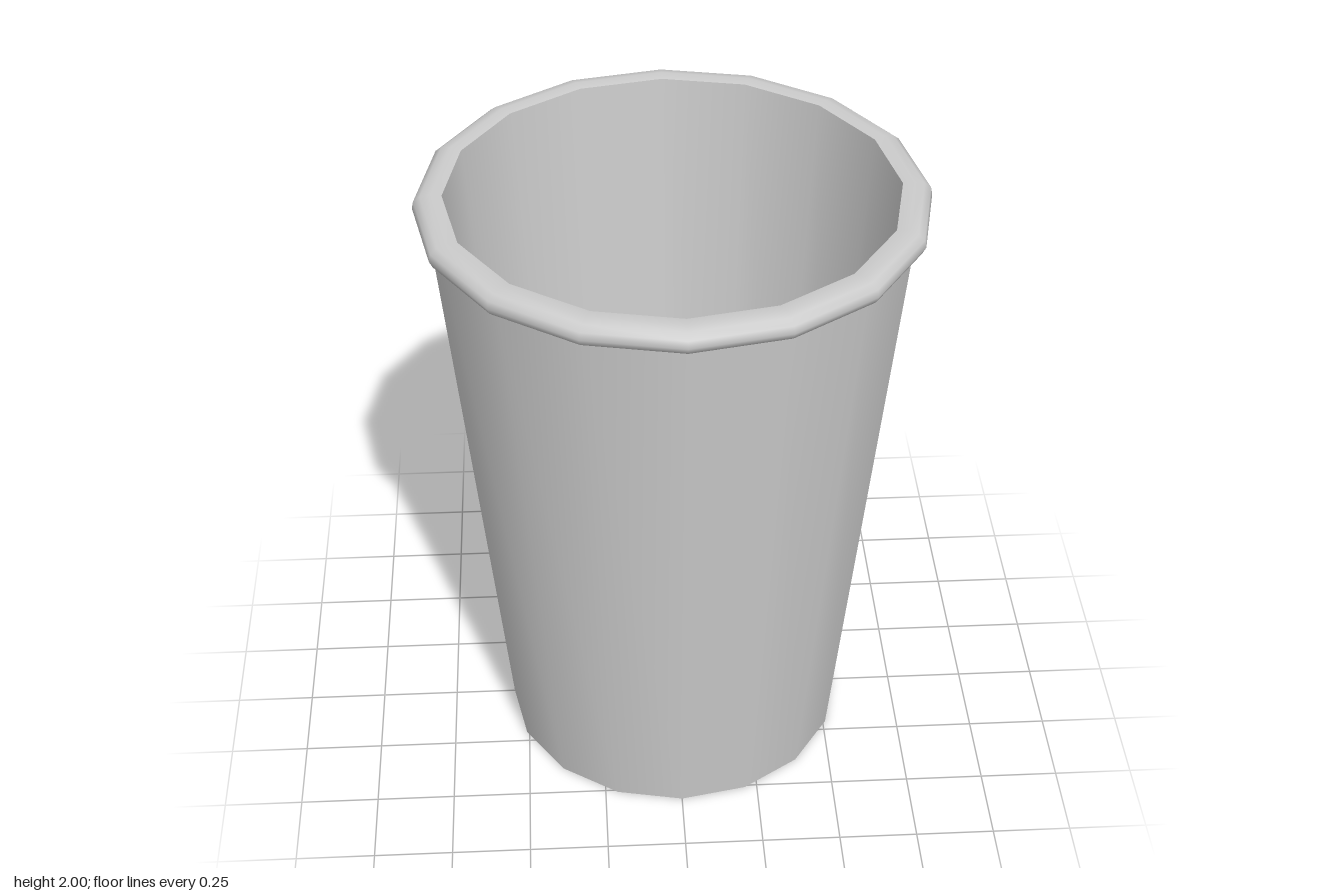
import * as THREE from 'three';

const SIDES = 16;
const material = new THREE.MeshStandardMaterial({ color: 0xcccccc });

// One smooth turned band; separate bands keep the edges between them sharp.
function band(name, profile) {
  const points = profile.map(([r, y]) => new THREE.Vector2(r, y));
  const mesh = new THREE.Mesh(new THREE.LatheGeometry(points, SIDES), material);
  mesh.name = name;
  return mesh;
}

export function createModel() {
  const cup = new THREE.Group();
  cup.name = 'cup';

  // Underside: shallow recess and the ring the cup stands on
  cup.add(band('baseUnderside', [[0, 0.027], [0.51, 0.027]]));
  cup.add(band('baseRecess', [[0.51, 0.027], [0.51, 0]]));
  cup.add(band('footRing', [[0.51, 0], [0.55, 0]]));

  // Tapered outer wall
  cup.add(band('outerWall', [[0.55, 0], [0.738, 1.934]]));

  // Rolled lip
  cup.add(band('rim', [
    [0.738, 1.934], [0.765, 1.934], [0.775, 1.955], [0.77, 1.978],
    [0.75, 1.994], [0.72, 2], [0.685, 1.995],
  ]));

  // Inside wall and floor
  cup.add(band('innerWall', [[0.685, 1.995], [0.54, 0.08]]));
  cup.add(band('floor', [[0.54, 0.08], [0, 0.08]]));

  return cup;
}
